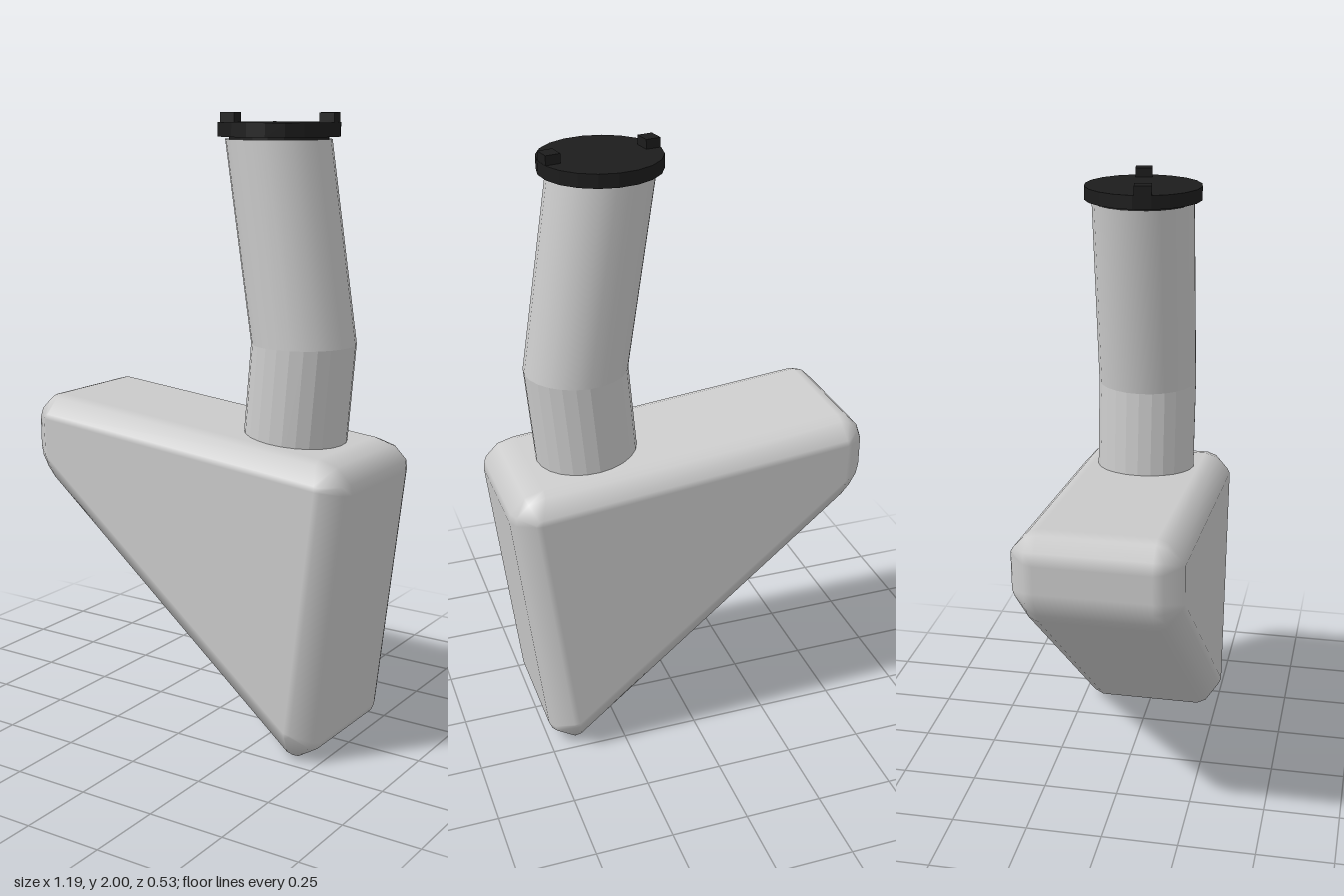
import * as THREE from 'three';

const grey = () => new THREE.MeshStandardMaterial({ color: 0xcccccc });

// Wedge corners, counter-clockwise: inner = corner of the flat side face,
// outer = the rounded edge around it
const corners = [
  { inner: [-0.52, 1.0], outer: [[-0.513, 1.077], [-0.545, 1.068], [-0.585, 1.028], [-0.598, 0.99]] },
  { inner: [-0.515, 0.87], outer: [[-0.598, 0.9], [-0.59, 0.86], [-0.565, 0.815], [-0.533, 0.777]] },
  { inner: [0.41, 0.11], outer: [[0.39, 0.008], [0.416, 0.002], [0.485, 0.045], [0.496, 0.07]] },
  { inner: [0.505, 0.9], outer: [[0.59, 0.884], [0.586, 0.915], [0.538, 0.963], [0.475, 0.981]] },
];

// Bevel across the thickness: share of the outer outline, z, normal angle
const bevel = [[0, 0.266, 90], [0.2, 0.257, 62], [0.85, 0.212, 28], [1, 0.18, 0]];

function edgeNormal(k) {
  const a = corners[(k + 3) % 4].outer[3], b = corners[k % 4].outer[0];
  return new THREE.Vector2(b[1] - a[1], a[0] - b[0]).normalize();
}

function wedgeGeometry() {
  const pos = [], nor = [], index = [];
  const rings = [...bevel, ...bevel.map(([t, z, a]) => [t, -z, -a]).reverse()];
  for (const [t, z, deg] of rings) {
    const a = THREE.MathUtils.degToRad(deg);
    corners.forEach(({ inner, outer }, k) => outer.forEach((p, j) => {
      const n = edgeNormal(k).lerp(edgeNormal(k + 1), j / 3).normalize();
      pos.push(inner[0] + (p[0] - inner[0]) * t, inner[1] + (p[1] - inner[1]) * t, z);
      nor.push(n.x * Math.cos(a), n.y * Math.cos(a), Math.sin(a));
    }));
  }
  for (let r = 0; r < rings.length - 1; r++) {
    for (let i = 0; i < 16; i++) {
      const a = r * 16 + i, b = r * 16 + (i + 1) % 16;
      index.push(a, a + 16, b, b, a + 16, b + 16);
    }
  }
  // flat side faces
  const e = (rings.length - 1) * 16;
  index.push(0, 4, 8, 0, 8, 12, e, e + 8, e + 4, e, e + 12, e + 8);
  const g = new THREE.BufferGeometry();
  g.setAttribute('position', new THREE.Float32BufferAttribute(pos, 3));
  g.setAttribute('normal', new THREE.Float32BufferAttribute(nor, 3));
  g.setIndex(index);
  return g;
}

// Leaning tube with level ends, made by shearing a cylinder
function leaningTube(x0, y0, x1, y1, radius) {
  const h = y1 - y0;
  const g = new THREE.CylinderGeometry(radius, radius, h, 24, 1, true);
  const shear = new THREE.Matrix4().set(
    1, (x1 - x0) / h, 0, (x0 + x1) / 2,
    0, 1, 0, (y0 + y1) / 2,
    0, 0, 1, 0,
    0, 0, 0, 1);
  return g.applyMatrix4(shear);
}

export function createModel() {
  const model = new THREE.Group();
  const add = (parent, name, geometry, material) => {
    const mesh = new THREE.Mesh(geometry, material);
    mesh.name = name;
    parent.add(mesh);
    return mesh;
  };

  add(model, 'tankBody', wedgeGeometry(), grey());

  // Bent filler neck
  const lower = grey();
  lower.flatShading = true;
  lower.side = THREE.DoubleSide;
  const upper = grey();
  upper.side = THREE.DoubleSide;
  add(model, 'lowerNeck', leaningTube(0.279, 0.9, 0.313, 1.295, 0.165), lower);
  add(model, 'upperNeck', leaningTube(0.313, 1.295, 0.215, 1.92, 0.165), upper);

  // Cap with two opposite lugs
  const black = new THREE.MeshStandardMaterial({ color: 0x1c1c1c, flatShading: true });
  const cap = new THREE.Group();
  cap.name = 'cap';
  cap.position.x = 0.217;
  model.add(cap);
  add(cap, 'capSeat', new THREE.CylinderGeometry(0.155, 0.155, 0.03, 20), black).position.y = 1.925;
  add(cap, 'capDisc', new THREE.CylinderGeometry(0.19, 0.19, 0.043, 20), black).position.y = 1.949;
  for (const side of [0, Math.PI]) {
    const angle = side + 0.17;
    const lug = add(cap, 'capLug', new THREE.BoxGeometry(0.048, 0.066, 0.055), black);
    lug.position.set(0.163 * Math.cos(angle), 1.967, -0.163 * Math.sin(angle));
    lug.rotation.y = angle;
  }
  return model;
}
